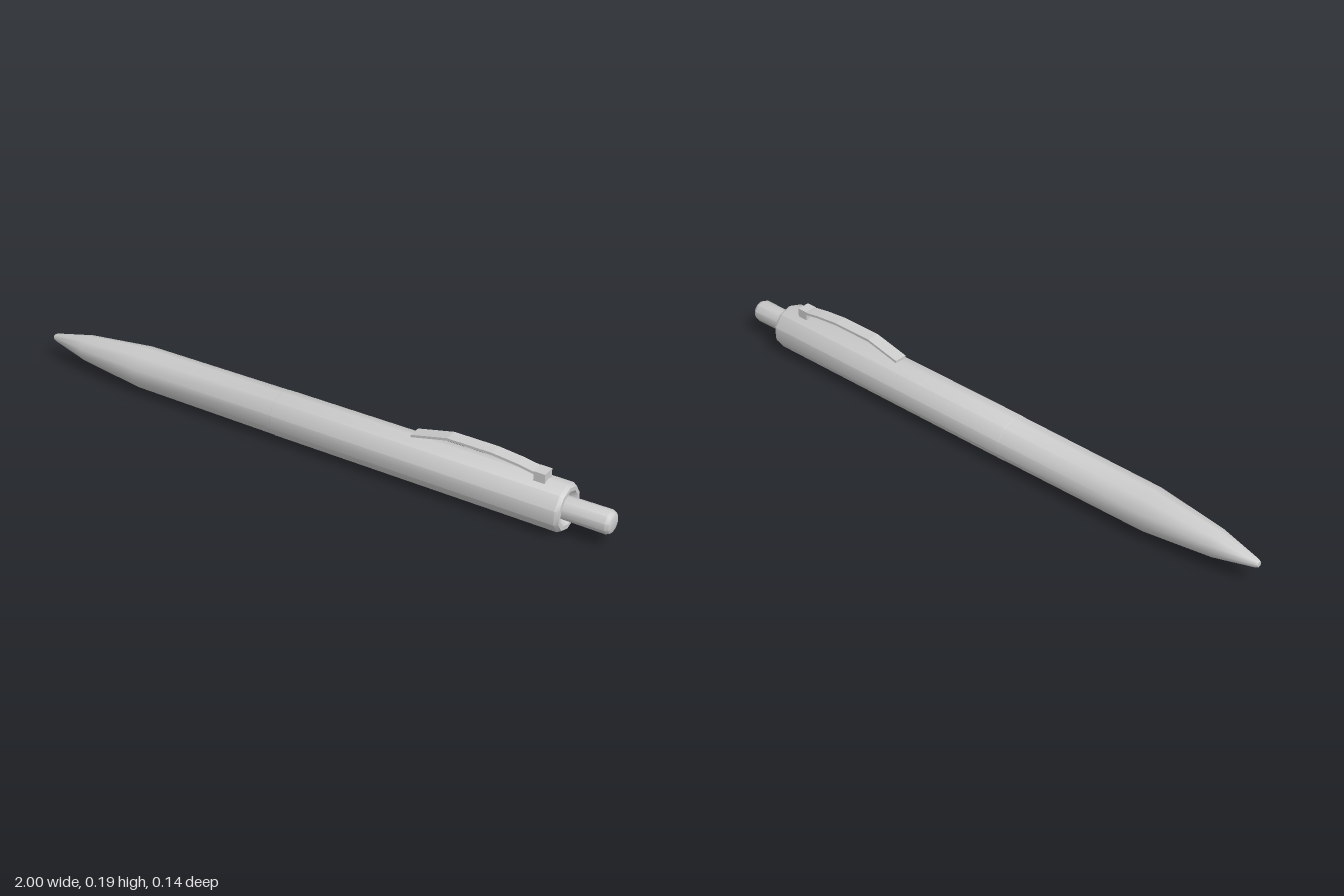
import * as THREE from 'three';
import { toCreasedNormals } from 'three/addons/utils/BufferGeometryUtils.js';

const AXIS_Y = 0.0775;
const material = new THREE.MeshStandardMaterial({ color: 0xcccccc });

function addMesh(parent, name, geometry) {
  const mesh = new THREE.Mesh(geometry, material);
  mesh.name = name;
  parent.add(mesh);
  return mesh;
}

// Turned part along x; profile is [x, radius] pairs from the tip end to the button end
function turned(profile, sides) {
  const points = profile.map(([x, r]) => new THREE.Vector2(r, x));
  const geometry = new THREE.LatheGeometry(points, sides);
  geometry.rotateY(Math.PI / 2).rotateZ(-Math.PI / 2); // lathe axis to +x, a corner on top
  geometry.translate(0, AXIS_Y, 0);
  return toCreasedNormals(geometry, 0.7);
}

// Flat side outline in x and y, extruded across z
function sideExtrude(outline, width) {
  const shape = new THREE.Shape(outline.map(([x, y]) => new THREE.Vector2(x, y)));
  const geometry = new THREE.ExtrudeGeometry(shape, { depth: width, bevelEnabled: false });
  return geometry.translate(0, 0, -width / 2);
}

export function createModel() {
  const pen = new THREE.Group();
  pen.name = 'pen';

  // Barrel: rounded point, tapered nose, long body, and a shallow recess at the button end
  addMesh(pen, 'barrel', turned([
    [-1, 0], [-1, 0.009], [-0.992, 0.013], [-0.86, 0.043], [-0.63, 0.068],
    [-0.11, 0.0715], [-0.108, 0.0725], [0.848, 0.0745], [0.86, 0.067],
    [0.86, 0.054], [0.848, 0.046], [0.835, 0.03],
  ], 10));

  // Push button with a bevelled end
  addMesh(pen, 'pushButton', turned([
    [0.83, 0.035], [0.985, 0.0365], [0.996, 0.031], [1, 0.022], [1, 0],
  ], 10));

  // Spring clip: a thin bent strip fixed to the barrel by a small block
  const clip = new THREE.Group();
  clip.name = 'clip';
  pen.add(clip);
  const top = [[0.355, 0.162], [0.475, 0.19], [0.62, 0.19], [0.7, 0.182], [0.79, 0.167]];
  const underside = top.map(([x, y]) => [x, y - 0.008]).reverse();
  addMesh(clip, 'clipStrip', sideExtrude([...underside, ...top], 0.043));
  const block = addMesh(clip, 'clipBlock', new THREE.BoxGeometry(0.036, 0.04, 0.043));
  block.position.set(0.772, 0.155, 0);

  return pen;
}
